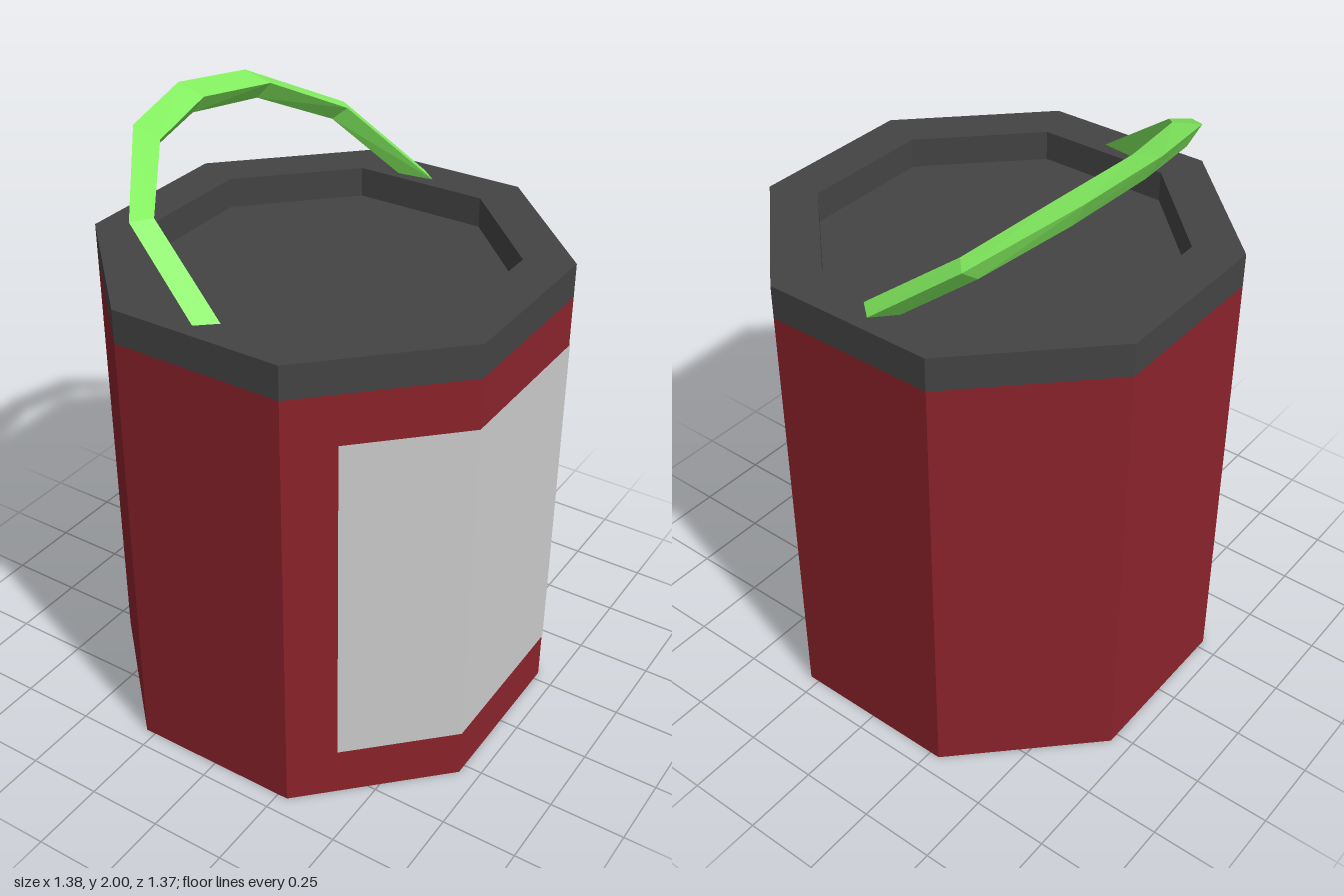
import * as THREE from 'three';

const HALF = Math.PI / 8;
const radius = apothem => apothem / Math.cos(HALF); // octagon corner radius

function part(name, geometry, color, side = THREE.FrontSide) {
  const material = new THREE.MeshStandardMaterial({ color, flatShading: true, side });
  const mesh = new THREE.Mesh(geometry, material);
  mesh.name = name;
  return mesh;
}

// Triangular bar swept through cross-sections that run from +z to -z
function handleGeometry() {
  // Half of the bow, end to apex: outer, under and inner corner of each section
  const half = [
    [[-0.037, 1.6, 0.638], [-0.1, 1.6, 0.57], [0.022, 1.6, 0.586]],
    [[-0.309, 1.81, 0.557], [-0.318, 1.767, 0.5], [-0.261, 1.815, 0.504]],
    [[-0.507, 1.965, 0.28], [-0.462, 1.88, 0.28], [-0.408, 1.94, 0.28]],
    [[-0.555, 2, 0], [-0.505, 1.912, 0], [-0.459, 1.972, 0]],
  ];
  const mirrored = half.slice(0, 3).reverse().map(s => s.map(([x, y, z]) => [x, y, -z]));
  const sections = [...half, ...mirrored];
  const last = (sections.length - 1) * 3;
  const index = [0, 1, 2, last, last + 2, last + 1]; // end caps
  for (let i = 0; i < last; i += 3) {
    for (let j = 0; j < 3; j++) {
      const p = i + j, q = i + (j + 1) % 3;
      index.push(p, p + 3, q + 3, p, q + 3, q);
    }
  }
  const geometry = new THREE.BufferGeometry();
  geometry.setAttribute('position', new THREE.Float32BufferAttribute(sections.flat(2), 3));
  geometry.setIndex(index);
  geometry.computeVertexNormals();
  return geometry;
}

// Sheet wrapped around three sides of the octagon
function labelGeometry() {
  const path = [[0.402, 0.573], [0.689, 0.286], [0.689, -0.286], [0.402, -0.573]];
  const geometry = new THREE.PlaneGeometry(1, 1.155, 3, 1);
  const pos = geometry.attributes.position;
  for (let i = 0; i < pos.count; i++) {
    const [x, z] = path[i % 4];
    pos.setXYZ(i, x, pos.getY(i) + 0.7475, z);
  }
  geometry.computeVertexNormals();
  return geometry;
}

export function createModel() {
  const model = new THREE.Group();
  model.name = 'bucket';

  // Eight-sided body
  const bodyGeometry = new THREE.CylinderGeometry(radius(0.687), radius(0.687), 1.49, 8, 1, false, HALF);
  bodyGeometry.translate(0, 0.745, 0);
  model.add(part('body', bodyGeometry, 0x8b232b));

  // Rim and recessed lid
  const profile = [
    [radius(0.687), 1.49], [radius(0.687), 1.6],
    [radius(0.54), 1.6], [radius(0.54), 1.5], [0, 1.5],
  ].map(p => new THREE.Vector2(...p));
  model.add(part('lid', new THREE.LatheGeometry(profile, 8, HALF), 0x444444));

  model.add(part('label', labelGeometry(), 0xcccccc, THREE.DoubleSide));
  model.add(part('handle', handleGeometry(), 0x84f060));
  return model;
}
